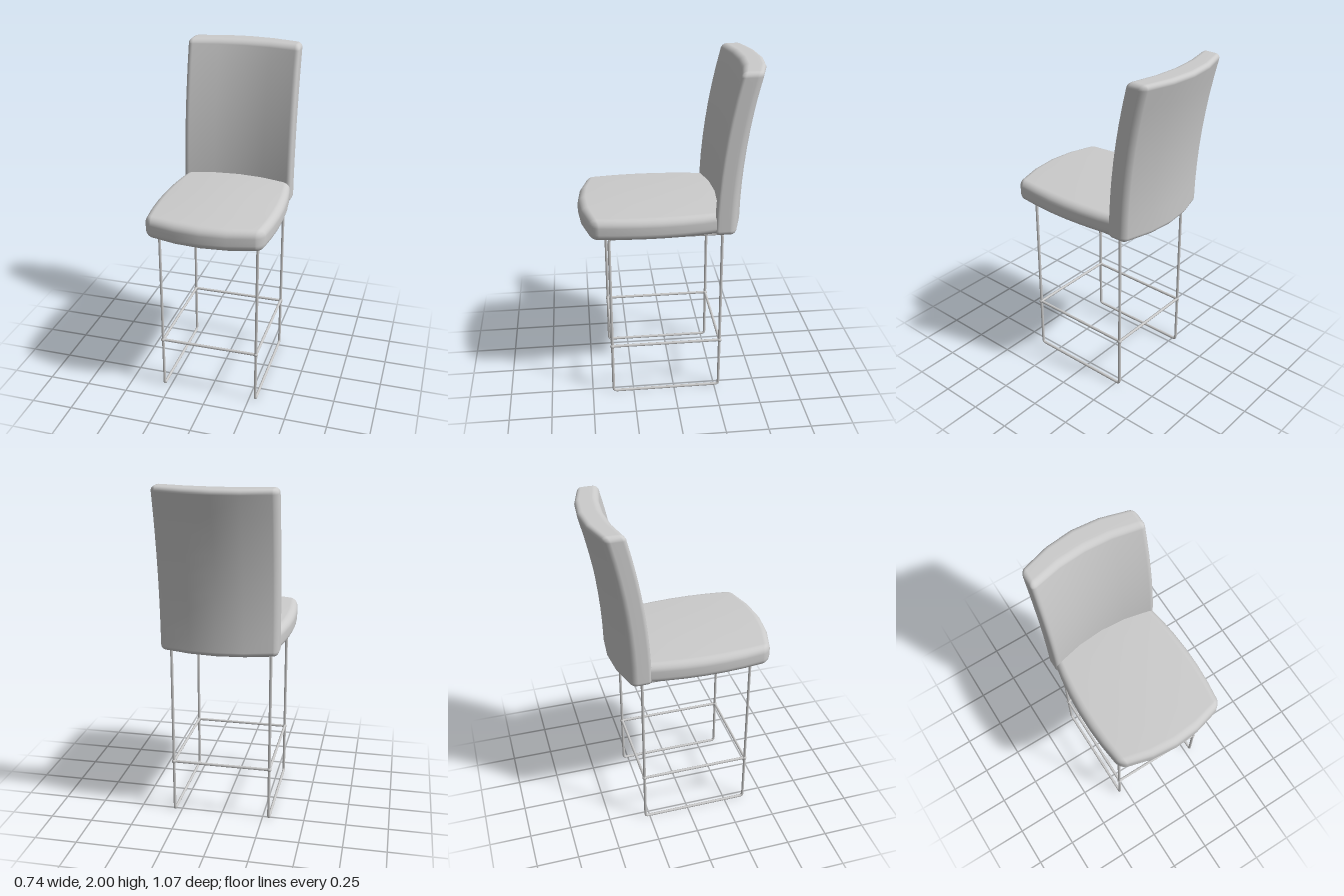
import * as THREE from 'three';
import { mergeVertices } from 'three/addons/utils/BufferGeometryUtils.js';

const grey = new THREE.MeshStandardMaterial({ color: 0xcccccc });
const EDGE = 3; // segments across each rounded edge

// Box with rounded edges whose vertices are then moved by a bending rule.
function cushion(name, size, centre, radius, inner, bend) {
  const segs = inner.map((n) => n + 2 * EDGE);
  let geo = new THREE.BoxGeometry(1, 1, 1, ...segs);
  geo.deleteAttribute('uv');
  geo.deleteAttribute('normal');
  const pos = geo.attributes.position;
  const p = new THREE.Vector3();
  const core = new THREE.Vector3();
  const axes = ['x', 'y', 'z'];
  for (let i = 0; i < pos.count; i++) {
    p.fromBufferAttribute(pos, i);
    axes.forEach((a, k) => {
      // grid index -> flat middle of the face, or step on the rounded edge
      const g = Math.round((p[a] + 0.5) * segs[k]);
      const half = size[k] / 2 - radius;
      const t = Math.min(Math.max((g - EDGE) / inner[k], 0), 1);
      const over = g < EDGE ? g - EDGE : Math.max(g - EDGE - inner[k], 0);
      core[a] = (t * 2 - 1) * half;
      p[a] = Math.tan((over / EDGE) * Math.PI / 4);
    });
    p.normalize().multiplyScalar(radius).add(core);
    p.x += centre[0];
    p.y += centre[1];
    p.z += centre[2];
    bend(p);
    pos.setXYZ(i, p.x, p.y, p.z);
  }
  geo = mergeVertices(geo, 1e-5);
  geo.computeVertexNormals();
  const mesh = new THREE.Mesh(geo, grey);
  mesh.name = name;
  return mesh;
}

// Closed rectangular loop of rod with tight rounded corners; corners in order.
function rodLoop(name, corners, rod = 0.0085, fillet = 0.02) {
  const path = new THREE.CurvePath();
  const n = corners.length;
  const toward = (a, b) => b.clone().sub(a).setLength(fillet).add(a);
  corners.forEach((c, i) => {
    const prev = corners[(i + n - 1) % n];
    const next = corners[(i + 1) % n];
    path.add(new THREE.QuadraticBezierCurve3(toward(c, prev), c, toward(c, next)));
    path.add(new THREE.LineCurve3(toward(c, next), toward(next, c)));
  });
  const mesh = new THREE.Mesh(new THREE.TubeGeometry(path, 320, rod, 8, true), grey);
  mesh.name = name;
  return mesh;
}

export function createModel() {
  const chair = new THREE.Group();
  chair.name = 'barChair';
  const bow = (x) => Math.max(1 - (x / 0.34) ** 2, 0);

  // Seat: bulging sides, bowed front edge, slightly crowned top
  chair.add(cushion('seat', [0.68, 0.125, 0.79], [0, 1.1225, 0.075], 0.042, [4, 2, 6], (p) => {
    const b = bow(p.x);
    const rise = Math.max((p.y - 1.06) / 0.125, 0);
    const forward = Math.max((p.z + 0.1) / 0.57, 0);
    p.y += 0.015 * rise * b * Math.max(1 - ((p.z - 0.08) / 0.5) ** 2, 0);
    p.x *= 1.088 - 0.088 * ((p.z - 0.13) / 0.34) ** 2;
    p.z += 0.07 * b * forward;
  }));

  // Backrest: bowed rearwards in plan, leaning back further towards the top
  chair.add(cushion('backrest', [0.68, 0.945, 0.12], [0, 1.5275, -0.28], 0.03, [4, 8, 1], (p) => {
    const rear = (-0.22 - p.z) / 0.12;
    p.z -= (0.052 + 0.02 * rear) * bow(p.x);
    p.z -= 0.125 * Math.max((p.y - 1.06) / 0.94, 0) ** 2;
  }));

  // Rod frame
  const frame = new THREE.Group();
  frame.name = 'frame';
  const X = 0.29, FRONT = 0.373, BACK = -0.277, TOP = 1.05, LOW = 0.0085, REST = 0.33;
  const v = (x, y, z) => new THREE.Vector3(x, y, z);
  for (const s of [-1, 1]) {
    frame.add(rodLoop(s > 0 ? 'leftLegLoop' : 'rightLegLoop', [
      v(s * X, LOW, FRONT), v(s * X, TOP, FRONT), v(s * X, TOP, BACK), v(s * X, LOW, BACK),
    ]));
  }
  for (const [name, y] of [['footrest', REST], ['seatSupport', TOP]]) {
    frame.add(rodLoop(name, [v(X, y, FRONT), v(X, y, BACK), v(-X, y, BACK), v(-X, y, FRONT)], 0.0085, 0.008));
  }
  // Weld beads where the footrest meets the legs
  for (const x of [-X, X]) for (const z of [FRONT, BACK]) {
    const bead = new THREE.Mesh(new THREE.SphereGeometry(0.014, 10, 8), grey);
    bead.name = 'weldBead';
    bead.position.set(x, REST, z);
    frame.add(bead);
  }
  chair.add(frame);
  return chair;
}
